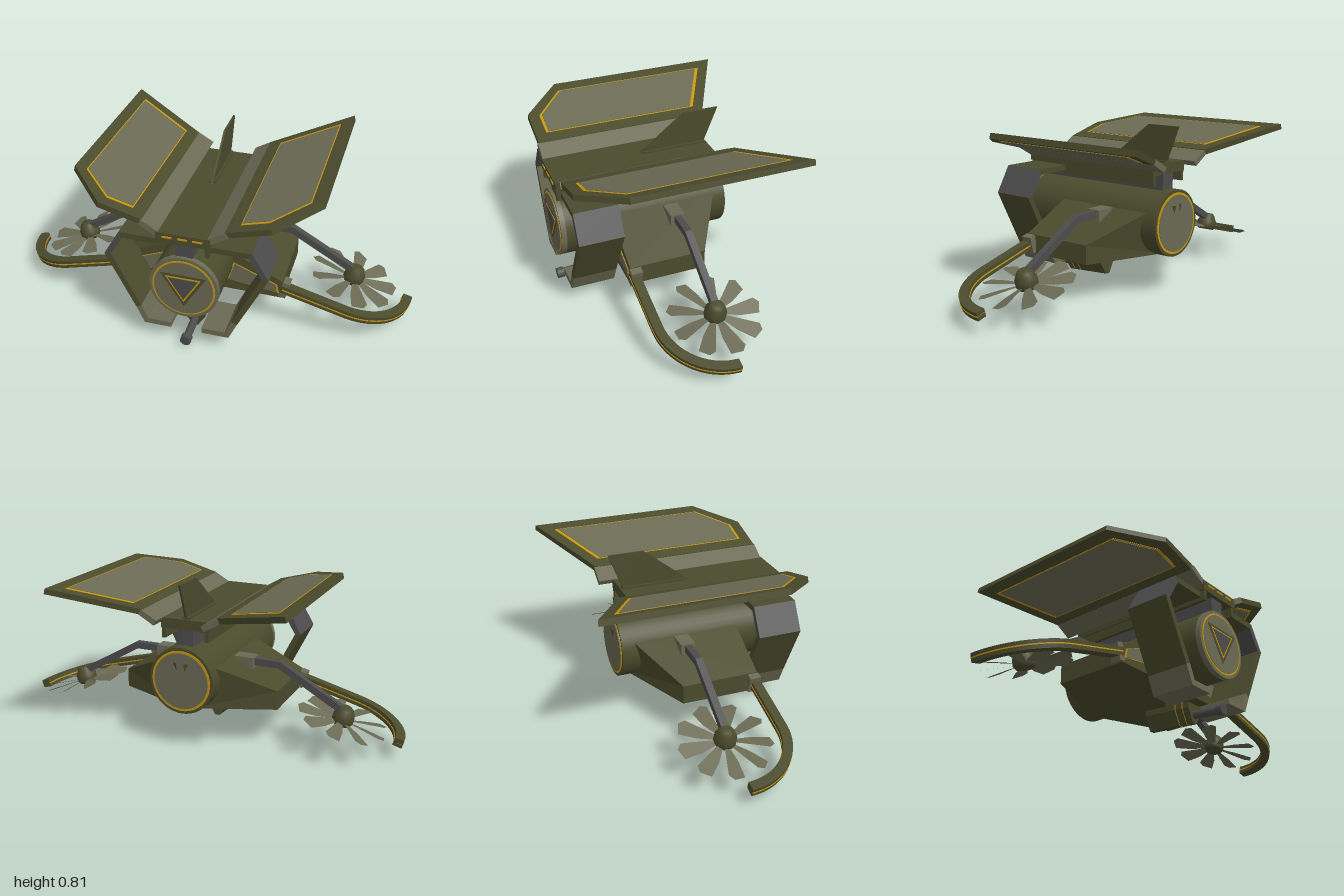
import * as THREE from 'three';

const mat = (color, side = THREE.FrontSide) => new THREE.MeshStandardMaterial({ color, side });
const OLIVE = mat(0x4b4b2d), PANEL = mat(0x6b6a54), GOLD = mat(0xc8960c), GREY = mat(0x4c4c4c);
const BLADE = mat(0x6b6a54, THREE.DoubleSide);
const V = (p) => p.map(([x, y]) => new THREE.Vector2(x, y));

function add(parent, name, geo, material, x = 0, y = 0, z = 0) {
  const m = new THREE.Mesh(geo, material);
  m.name = name;
  m.position.set(x, y, z);
  parent.add(m);
  return m;
}
const box = (parent, name, w, h, d, material, x, y, z) =>
  add(parent, name, new THREE.BoxGeometry(w, h, d), material, x, y, z);

// Front-facing outline (x, y) extruded from z0 to z1
function prism(shape, z0, z1) {
  const s = Array.isArray(shape) ? new THREE.Shape(V(shape)) : shape;
  return new THREE.ExtrudeGeometry(s, { depth: z1 - z0, bevelEnabled: false, curveSegments: 16 }).translate(0, 0, z0);
}
// Plan outline (x, -z) extruded from y0 to y1
const slab = (shape, y0, y1) => prism(shape, y0, y1).rotateX(-Math.PI / 2);

// Mitred strip along a polyline, one coloured prism per segment
function strip(parent, name, path, t, z0, z1, materials) {
  const p = V(path);
  const normal = (i) => {
    const d = p[i + 1].clone().sub(p[i]).normalize();
    return new THREE.Vector2(-d.y, d.x);
  };
  const off = p.map((_, i) => {
    const a = normal(Math.max(0, i - 1)), b = normal(Math.min(i, p.length - 2));
    const n = a.clone().add(b).normalize();
    return n.multiplyScalar(t / 2 / n.dot(b));
  });
  materials.forEach((m, i) => {
    const q = [p[i].clone().add(off[i]), p[i + 1].clone().add(off[i + 1]),
      p[i + 1].clone().sub(off[i + 1]), p[i].clone().sub(off[i])];
    add(parent, name + (i + 1), prism(new THREE.Shape(q), z0, z1), m);
  });
}

// Shrink an outline towards its centre
function inset(pts, k) {
  const cx = pts.reduce((s, p) => s + p[0], 0) / pts.length;
  const cy = pts.reduce((s, p) => s + p[1], 0) / pts.length;
  return pts.map(([x, y]) => [cx + (x - cx) * k, cy + (y - cy) * k]);
}

// Copy a side assembly across x = 0 with corrected face order
function mirrored(source) {
  const out = new THREE.Group();
  out.name = source.name.replace('left', 'right');
  source.updateMatrixWorld(true);
  source.traverse((o) => {
    if (!o.isMesh) return;
    const g = (o.geometry.index ? o.geometry.toNonIndexed() : o.geometry.clone()).applyMatrix4(o.matrixWorld);
    g.scale(-1, 1, 1);
    for (const a of [g.attributes.position, g.attributes.normal]) {
      for (let i = 0; i < a.count; i += 3) {
        const b = [a.getX(i + 1), a.getY(i + 1), a.getZ(i + 1)];
        a.setXYZ(i + 1, a.getX(i + 2), a.getY(i + 2), a.getZ(i + 2));
        a.setXYZ(i + 2, ...b);
      }
    }
    g.computeVertexNormals();
    g.attributes.normal.copy(mirrorNormals(o));
    add(out, o.name, g, o.material);
  });
  return out;
}
function mirrorNormals(o) {
  const g = (o.geometry.index ? o.geometry.toNonIndexed() : o.geometry.clone()).applyMatrix4(o.matrixWorld);
  const n = g.attributes.normal, r = n.clone();
  for (let i = 0; i < n.count; i++) {
    const j = i % 3 === 0 ? i : i % 3 === 1 ? i + 1 : i - 1;
    r.setXYZ(i, -n.getX(j), n.getY(j), n.getZ(j));
  }
  return r;
}

function buildFuselage(root) {
  const g = new THREE.Group();
  g.name = 'fuselage';
  g.position.y = 0.352;
  root.add(g);
  const drum = (name, r, z0, z1, m) =>
    add(g, name, new THREE.CylinderGeometry(r, r, z1 - z0, 40).rotateX(Math.PI / 2), m, 0, 0, (z0 + z1) / 2);
  drum('barrelHull', 0.163, -0.315, 0.5, OLIVE);
  drum('frontRim', 0.164, 0.5, 0.526, PANEL);
  drum('frontGoldRing', 0.149, 0.52, 0.528, GOLD);
  drum('frontPlate', 0.141, 0.52, 0.53, PANEL);
  drum('rearGoldRing', 0.149, -0.318, -0.31, GOLD);
  drum('rearPlate', 0.138, -0.32, -0.31, PANEL);
  // Nested triangles on the nose
  const tri = [[-0.108, 0.073], [0, -0.1], [0.108, 0.073]];
  [[1, OLIVE], [0.78, GOLD], [0.66, GREY]].forEach(([k, m], i) =>
    add(g, 'noseTriangle' + (i + 1), prism(inset(tri, k), 0.52, 0.532 + i * 0.002), m));
}

function buildRoof(root) {
  const g = new THREE.Group();
  g.name = 'roof';
  root.add(g);
  box(g, 'roofSpine', 0.25, 0.05, 0.8, OLIVE, 0, 0.614, 0.13);
  box(g, 'roofMount', 0.08, 0.1, 0.775, GREY, 0, 0.545, 0.123);
  for (const s of [-1, 0, 1]) box(g, 'frontDash', 0.045, 0.008, 0.006, GOLD, s * 0.07, 0.62, 0.531);
  // Dorsal fin: plan uses (-z, y), turned to lie along the centre line
  const fin = [[-0.08, 0.635], [0.15, 0.815], [0.325, 0.815], [0.255, 0.635]];
  add(g, 'dorsalFin', prism(fin, -0.005, 0.005).rotateY(Math.PI / 2), OLIVE);
  box(g, 'finBase', 0.034, 0.012, 0.32, OLIVE, 0, 0.642, -0.1);
}

function buildGun(root) {
  const g = new THREE.Group();
  g.name = 'chinGun';
  g.position.set(0, 0.05, 0.365);
  g.rotation.x = 0.07;
  root.add(g);
  const house = [[-0.052, 0.045], [-0.052, 0.018], [-0.012, -0.046], [0.012, -0.046], [0.052, 0.018], [0.052, 0.045]];
  add(g, 'gunHousing', prism(house, -0.25, 0), OLIVE);
  for (const z of [-0.035, -0.075]) add(g, 'gunBand', prism(inset(house, 1.03), z - 0.002, z + 0.002), GOLD);
  const tube = (name, r, z0, z1) =>
    add(g, name, new THREE.CylinderGeometry(r, r, z1 - z0, 16).rotateX(Math.PI / 2), GREY, 0, -0.005, (z0 + z1) / 2);
  tube('gunBarrel', 0.019, -0.01, 0.13);
  tube('muzzle', 0.026, 0.125, 0.16);
  box(root, 'gunPost', 0.012, 0.12, 0.1, GREY, 0, 0.145, 0.25);
}

function buildSide() {
  const side = new THREE.Group();
  side.name = 'leftSide';

  // Sponson whose rear face sweeps in towards the hull
  const hull = prism([[0.02, 0.2], [0.405, 0.195], [0.405, 0.288], [0.1, 0.442], [0.02, 0.442]], 0, 0.275);
  const p = hull.attributes.position;
  for (let i = 0; i < p.count; i++) {
    if (p.getZ(i) < 0.01) p.setZ(i, -0.1 - (0.405 - p.getX(i)) * (p.getY(i) > 0.25 ? 0.6 : 0.43));
  }
  const flat = hull.index ? hull.toNonIndexed() : hull;
  flat.computeVertexNormals();
  add(side, 'sponson', flat, OLIVE);
  const face = [[0.134, 0.255], [0.39, 0.222], [0.38, 0.267], [0.166, 0.355]];
  add(side, 'sponsonTrim', prism(face, 0.27, 0.278), GOLD);
  add(side, 'sponsonPanel', prism(inset(face, 0.93), 0.27, 0.28), PANEL);

  // Angled armour frame beside the nose
  strip(side, 'armourFrame', [[0.1, 0.572], [0.302, 0.572], [0.37, 0.457], [0.233, 0.18], [0.197, 0.102], [0.075, 0.102]],
    0.028, 0.29, 0.505, [OLIVE, GREY, OLIVE, PANEL, PANEL]);

  // Roof shoulder, hanger plate and raised wing
  strip(side, 'roofShoulder', [[0.12, 0.627], [0.2, 0.673]], 0.028, -0.34, 0.525, [PANEL]);
  box(side, 'hangerPlate', 0.018, 0.09, 0.795, OLIVE, 0.11, 0.585, 0.128);
  const wing = new THREE.Group();
  wing.name = 'wing';
  wing.position.set(0.193, 0.672, 0);
  wing.rotation.z = 0.265;
  side.add(wing);
  add(wing, 'wingPlate', slab([[0, -0.52], [0.208, -0.52], [0.403, -0.33], [0.403, 0.54], [0, 0.335]], -0.014, 0.014), OLIVE);
  const glaze = [[0.06, -0.467], [0.188, -0.467], [0.347, -0.325], [0.347, 0.455], [0.06, 0.308]];
  add(wing, 'wingTrim', slab(glaze, -0.0155, 0.0155), GOLD);
  add(wing, 'wingPanel', slab(inset(glaze, 0.965), -0.017, 0.017), PANEL);

  // Strut carrying the rotor
  box(side, 'strutBracket', 0.1, 0.055, 0.07, PANEL, 0.21, 0.394, -0.02);
  strip(side, 'strut', [[0.2, 0.398], [0.385, 0.398], [0.71, 0.21]], 0.034, -0.037, -0.003, [GREY, GREY]);

  // Tilted rotor with its curved guard rail
  const rotor = new THREE.Group();
  rotor.name = 'rotor';
  rotor.position.set(0.705, 0.165, -0.02);
  rotor.rotation.z = -0.26;
  side.add(rotor);
  const hub = V([[0, -0.02], [0.042, -0.02], [0.052, -0.005], [0.052, 0.025], [0.036, 0.06], [0.024, 0.07], [0, 0.07]]);
  add(rotor, 'rotorHub', new THREE.LatheGeometry(hub, 16), OLIVE);
  const blade = new THREE.Shape(V([[0.04, -0.012], [0.12, -0.034], [0.205, -0.042], [0.222, 0.01], [0.2, 0.034], [0.1, 0.02], [0.04, 0.012]]));
  for (let i = 0; i < 9; i++) {
    const geo = new THREE.ShapeGeometry(blade).rotateX(-Math.PI / 2 + 0.25).rotateY((i / 9) * Math.PI * 2 + 0.15);
    add(rotor, 'rotorBlade', geo, BLADE);
  }
  const rail = (r0, r1, start) => {
    const s = new THREE.Shape();
    s.moveTo(start, -r1);
    s.lineTo(0, -r1);
    s.absarc(0, 0, r1, -Math.PI / 2, 0, false);
    s.lineTo(r0, 0);
    s.absarc(0, 0, r0, 0, -Math.PI / 2, true);
    s.lineTo(start, -r0);
    return s;
  };
  add(rotor, 'guardRail', slab(rail(0.255, 0.3, -0.32), -0.02, 0.02), OLIVE);
  add(rotor, 'guardTrim', slab(rail(0.253, 0.302, -0.31), -0.003, 0.003), GOLD);
  box(rotor, 'guardSocket', 0.035, 0.085, 0.055, PANEL, -0.3, 0, 0.272);
  return side;
}

export function createModel() {
  const root = new THREE.Group();
  root.name = 'gyrocraft';
  buildFuselage(root);
  buildRoof(root);
  buildGun(root);
  const left = buildSide();
  root.add(mirrored(left), left);
  return root;
}
